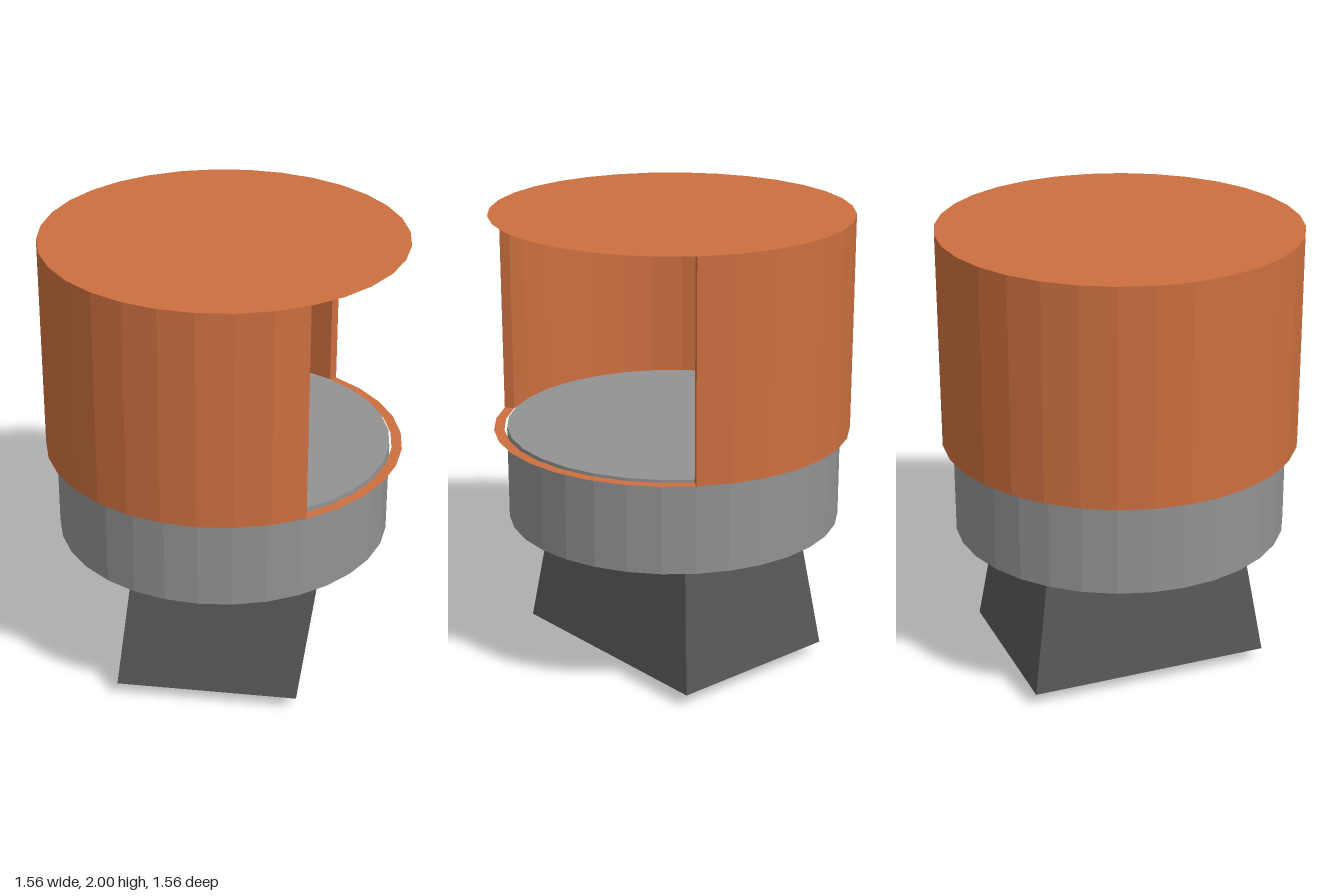
import * as THREE from 'three';

export function createModel() {
  const model = new THREE.Group();
  const mat = (color) => new THREE.MeshStandardMaterial({ color, flatShading: true, side: THREE.DoubleSide });
  const orange = mat(0xcc6f3f), grey = mat(0x929292), dark = mat(0x575757);

  const add = (name, geometry, material, x = 0, y = 0, z = 0, parent = model) => {
    const mesh = new THREE.Mesh(geometry, material);
    mesh.name = name;
    mesh.position.set(x, y, z);
    parent.add(mesh);
    return mesh;
  };

  // Housing: a thick 32-sided shell, open towards +x
  const SIDES = 32, R_OUT = 0.78, R_IN = 0.735, Y0 = 1.05, Y1 = 2;
  const step = (Math.PI * 2) / SIDES;
  const start = Math.PI / 2 + 5 * step;
  const housing = new THREE.Group();
  housing.name = 'housing';
  model.add(housing);

  const height = Y1 - Y0, midY = (Y0 + Y1) / 2;
  for (const [name, r] of [['outerWall', R_OUT], ['innerWall', R_IN]]) {
    const wall = new THREE.CylinderGeometry(r, r, height, 22, 1, true, start, 22 * step);
    add(name, wall, orange, 0, midY, 0, housing);
  }

  // End faces joining the inner and outer walls at the opening
  for (const side of [1, -1]) {
    const angle = side * 5 * step, r = (R_IN + R_OUT) / 2;
    const edge = add('openingEdge', new THREE.PlaneGeometry(R_OUT - R_IN, height), orange,
      r * Math.cos(angle), midY, r * Math.sin(angle), housing);
    edge.rotation.y = -angle;
  }

  // Flat roof and the narrow ledge that runs all the way round below
  const roof = new THREE.CircleGeometry(R_OUT, SIDES).rotateX(-Math.PI / 2);
  add('roof', roof, orange, 0, Y1, 0, housing);
  const ledge = new THREE.RingGeometry(R_IN, R_OUT, SIDES).rotateX(-Math.PI / 2);
  add('ledge', ledge, orange, 0, Y0, 0, housing);

  // Drum
  add('drum', new THREE.CylinderGeometry(0.73, 0.73, 0.415, SIDES), grey, -0.005, 0.8525, -0.005);

  // Pedestal: a box tapered towards the top
  const pedestal = new THREE.BoxGeometry(0.795, 0.585, 1.08);
  const pos = pedestal.attributes.position;
  for (let i = 0; i < pos.count; i++) {
    if (pos.getY(i) > 0) {
      pos.setX(i, pos.getX(i) * 0.83);
      pos.setZ(i, pos.getZ(i) * 0.833);
    }
  }
  pedestal.computeVertexNormals();
  add('pedestal', pedestal, dark, -0.003, 0.3525, -0.01);

  // Four small feet
  for (const x of [-0.235, 0.243]) {
    for (const z of [0.375, -0.398]) {
      add('foot', new THREE.CylinderGeometry(0.055, 0.055, 0.06, 16), dark, x, 0.03, z);
    }
  }

  return model;
}
